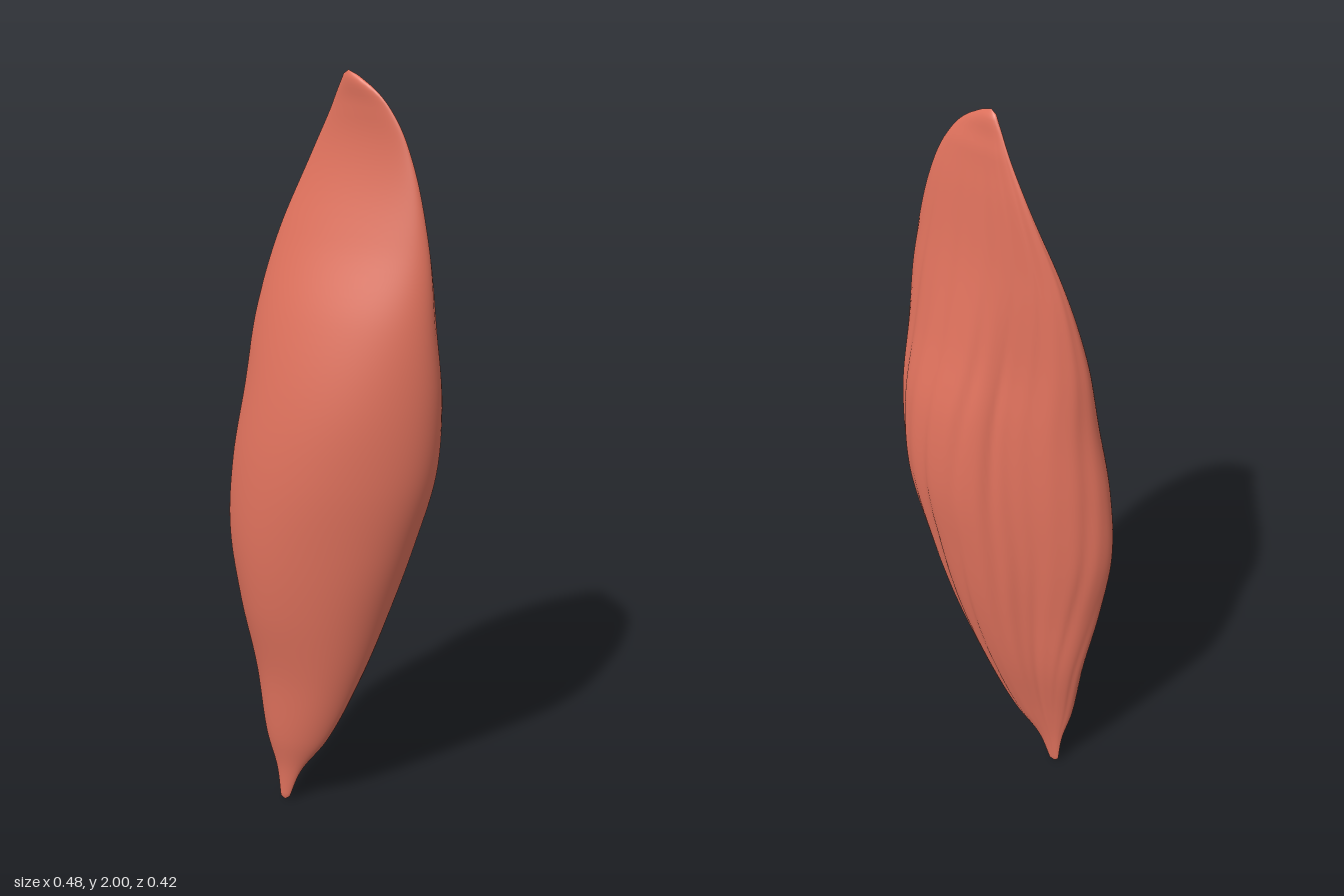
import * as THREE from 'three';

// Cross-sections: y, xMin, xMax, zMin, zMax, slant (1 = thin diagonal blade, 0 = round)
const SECTIONS = [
  [0.00, -0.130, -0.113, -0.082, -0.066, 0.7],
  [0.10, -0.138, -0.080, -0.094, -0.040, 0.65],
  [0.20, -0.160, -0.018, -0.114, 0.005, 0.6],
  [0.40, -0.182, 0.070, -0.155, 0.065, 0.5],
  [0.60, -0.220, 0.140, -0.182, 0.115, 0.45],
  [0.80, -0.240, 0.195, -0.205, 0.162, 0.47],
  [1.00, -0.228, 0.238, -0.205, 0.201, 0.48],
  [1.20, -0.194, 0.239, -0.192, 0.217, 0.52],
  [1.40, -0.155, 0.208, -0.181, 0.212, 0.67],
  [1.60, -0.097, 0.184, -0.158, 0.187, 0.85],
  [1.80, -0.022, 0.149, -0.107, 0.144, 0.94],
  [1.90, 0.009, 0.116, -0.066, 0.110, 0.94],
  [1.96, 0.022, 0.080, -0.038, 0.070, 0.88],
  [2.00, 0.030, 0.042, -0.016, 0.008, 0.6],
];

// Smooth bump around an angle on the section outline
function bump(s, centre, width) {
  const d = Math.atan2(Math.sin(s - centre), Math.cos(s - centre));
  return Math.exp(-((d / width) ** 2));
}

// Flattened back face and a square rear corner, easing out toward the top blade
function outline(s, y) {
  const ease = 1 - THREE.MathUtils.smoothstep(y, 1.3, 1.75);
  return 1 + ease * (0.07 * bump(s, Math.PI, 0.4) - 0.24 * bump(s, -2.0, 0.45));
}

// Shallow slanting fibre grooves: strong on the back side, faint elsewhere
function groove(s, y) {
  const back = Math.max(0, -Math.sin(s)) ** 0.7;
  const fade = Math.max(0, Math.min(1, y / 0.3, (2 - y) / 0.3));
  const a = s + 0.5 * (y - 1);
  const strands = 0.5 + 0.5 * Math.sin(a * 13 + 1.2 * Math.sin(y * 4 + s * 3));
  const fine = 0.5 + 0.5 * Math.sin(a * 23 - y * 2.5);
  const swell = 0.5 + 0.5 * Math.sin(a * 5 + y * 3);
  return 1 - fade * (back * (0.035 * strands ** 3 + 0.015 * fine) + 0.01 * swell);
}

function bellyGeometry(rows = 100, cols = 120) {
  const curve = new THREE.CubicInterpolant(
    SECTIONS.map((r) => r[0]), SECTIONS.flatMap((r) => r.slice(1)), 5, new Float32Array(5));
  const pos = [], index = [];
  for (let i = 0; i <= rows; i++) {
    // rows bunch up slightly toward both tips
    const k = i / rows;
    const y = k + 0.5 - 0.5 * Math.cos(Math.PI * k);
    const [x0, x1, z0, z1, slant] = curve.evaluate(y);
    const phi = Math.acos(Math.min(0.98, slant));
    const close = i === 0 || i === rows ? 0 : 1;
    for (let j = 0; j < cols; j++) {
      const s = (j / cols) * Math.PI * 2;
      const g = outline(s, y) * groove(s, y) * close;
      pos.push(
        (x0 + x1) / 2 + (x1 - x0) / 2 * Math.cos(s + phi / 2) * g,
        y,
        (z0 + z1) / 2 + (z1 - z0) / 2 * Math.cos(s - phi / 2) * g);
      if (i < rows) {
        const a = i * cols + j, b = i * cols + (j + 1) % cols;
        index.push(b, a, a + cols, b, a + cols, b + cols);
      }
    }
  }
  const geo = new THREE.BufferGeometry();
  geo.setAttribute('position', new THREE.Float32BufferAttribute(pos, 3));
  geo.setIndex(index);
  geo.computeVertexNormals();
  return geo;
}

export function createModel() {
  const group = new THREE.Group();
  group.name = 'muscle';
  const belly = new THREE.Mesh(bellyGeometry(), new THREE.MeshStandardMaterial({ color: 0xe0725d }));
  belly.name = 'muscleBelly';
  group.add(belly);
  return group;
}
